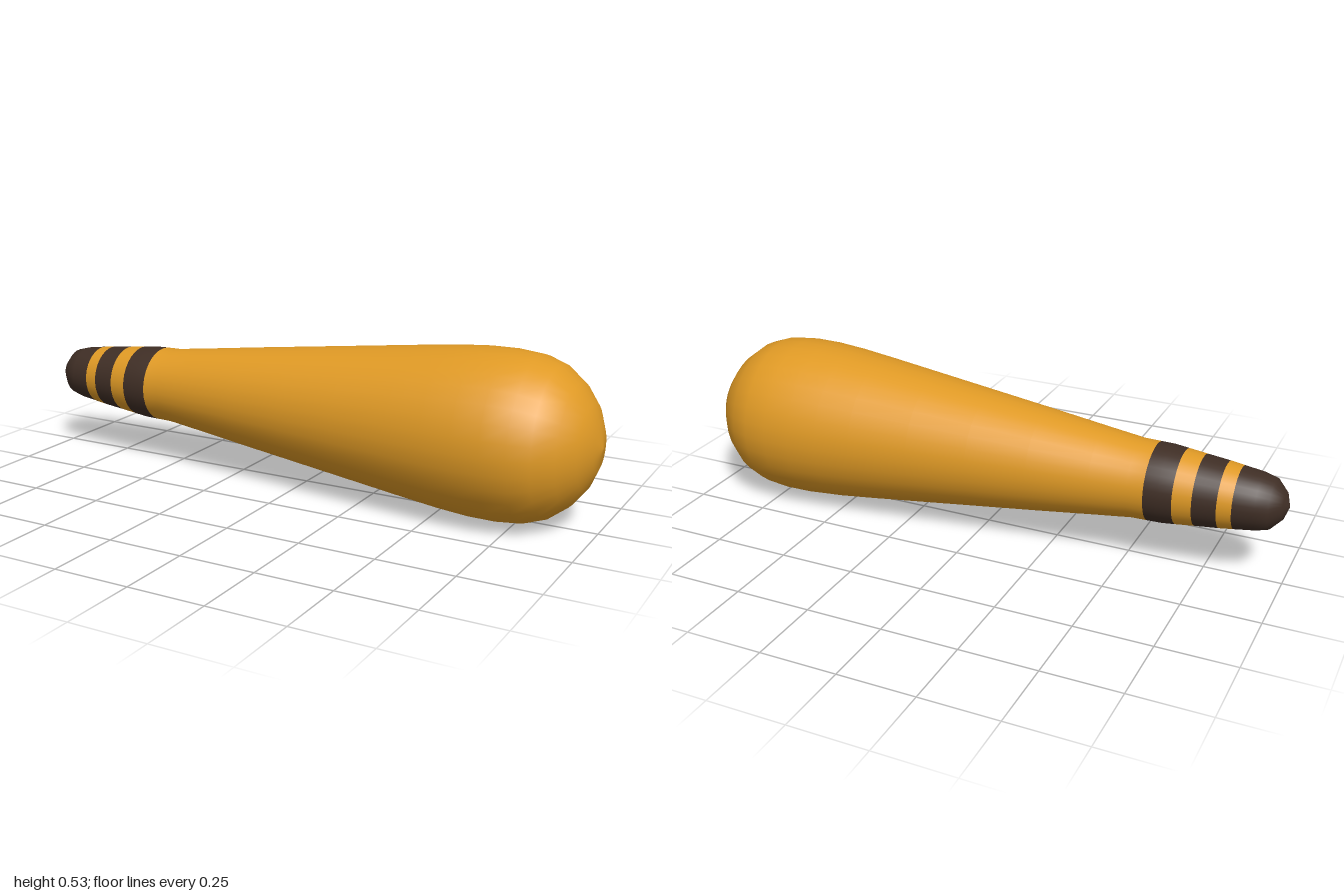
import * as THREE from 'three';

export function createModel() {
  const group = new THREE.Group();
  const amber = new THREE.MeshStandardMaterial({ color: 0xe09a25 });
  amber.name = 'amber wood';
  const brown = new THREE.MeshStandardMaterial({ color: 0x3f2e25 });
  brown.name = 'dark brown';

  // each part is a turned section along x, given as [x, radius] pairs
  const parts = [
    ['handleTip', brown, [[-1, 0], [-0.985, 0.043], [-0.95, 0.08], [-0.91, 0.091], [-0.845, 0.1]]],
    ['handleGapOuter', amber, [[-0.845, 0.1], [-0.8, 0.106]]],
    ['gripBandOuter', brown, [[-0.8, 0.106], [-0.725, 0.114]]],
    ['handleGapInner', amber, [[-0.725, 0.114], [-0.665, 0.121]]],
    ['gripBandInner', brown, [[-0.665, 0.121], [-0.62, 0.126], [-0.575, 0.127]]],
    ['body', amber, [
      [-0.575, 0.127], [-0.52, 0.128], [-0.4, 0.143], [-0.2, 0.169], [0, 0.194],
      [0.2, 0.219], [0.4, 0.244], [0.52, 0.258], [0.62, 0.266], [0.71, 0.267], [0.79, 0.259],
      [0.855, 0.236], [0.915, 0.19], [0.96, 0.133], [0.988, 0.068], [1, 0],
    ]],
  ];

  for (const [name, material, profile] of parts) {
    const geometry = new THREE.LatheGeometry(profile.map(([x, r]) => new THREE.Vector2(r, x)), 32);
    geometry.rotateZ(-Math.PI / 2); // lay the turning axis along x
    const mesh = new THREE.Mesh(geometry, material);
    mesh.name = name;
    mesh.position.y = 0.267;
    group.add(mesh);
  }
  return group;
}
